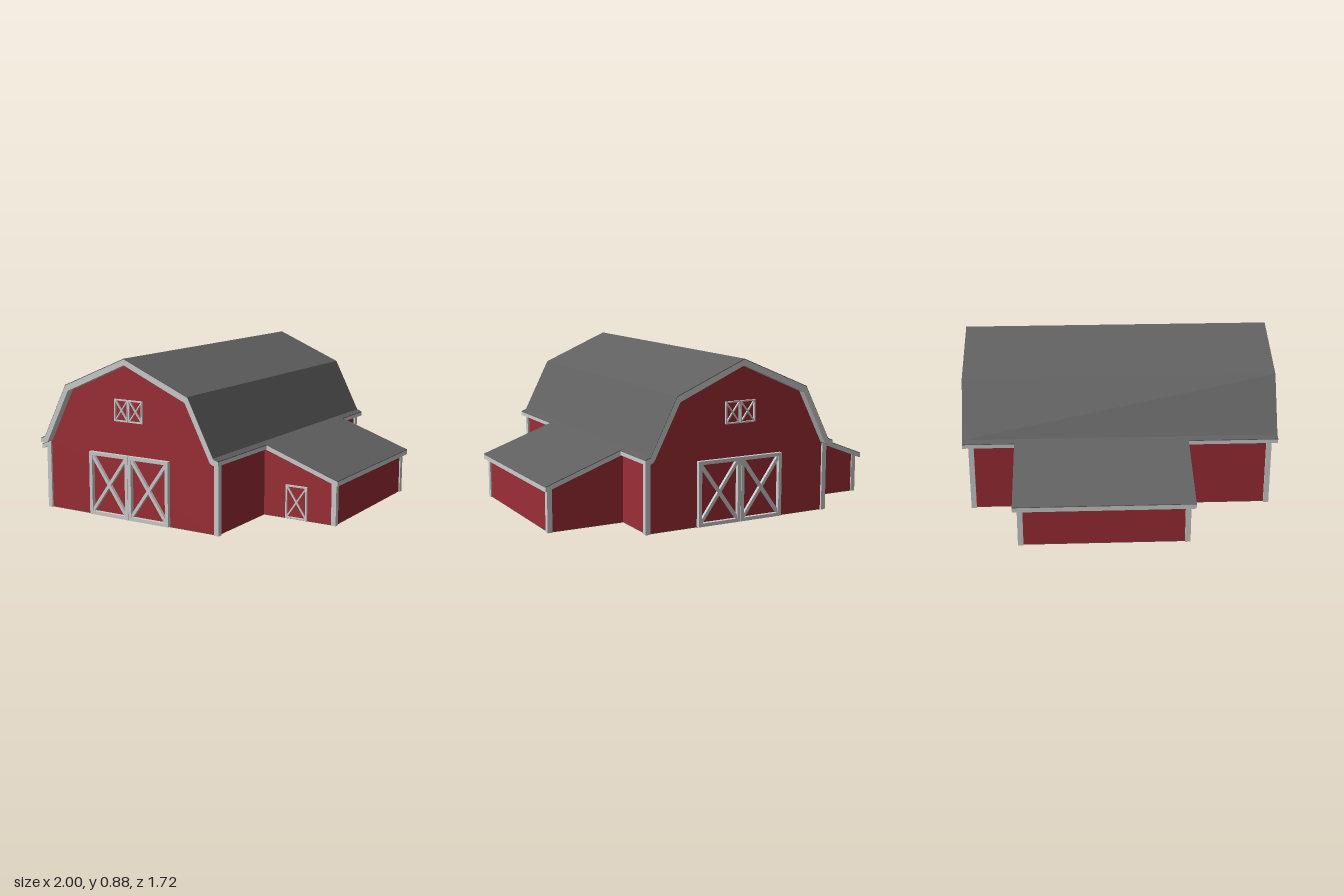
import * as THREE from 'three';

const paint = (color) => new THREE.MeshStandardMaterial({ color, flatShading: true });

export function createModel() {
  const barn = new THREE.Group();
  barn.name = 'barn';
  const red = paint(0x9b2d35), trim = paint(0xcccccc), dark = paint(0x606060);

  const add = (parent, name, geometry, material) => {
    const mesh = new THREE.Mesh(geometry, material);
    mesh.name = name;
    parent.add(mesh);
    return mesh;
  };

  // Extrude an x/y outline between two depths
  const prism = (parent, name, points, z0, z1, material) => {
    const shape = new THREE.Shape(points.map(([x, y]) => new THREE.Vector2(x, y)));
    const geometry = new THREE.ExtrudeGeometry(shape, { depth: z1 - z0, bevelEnabled: false });
    return add(parent, name, geometry.translate(0, 0, z0), material);
  };

  // Box given by its two extreme corners
  const block = (parent, name, [x0, y0, z0], [x1, y1, z1], material) => {
    const mesh = add(parent, name, new THREE.BoxGeometry(x1 - x0, y1 - y0, z1 - z0), material);
    mesh.position.set((x0 + x1) / 2, (y0 + y1) / 2, (z0 + z1) / 2);
    return mesh;
  };

  // Mirror a half outline (from the ridge to +x) into a full one, left to right
  const mirrored = (half) => [...half.slice(1).reverse().map(([x, y]) => [-x, y]), ...half];

  // Thin dark layer lying on a roof line
  const shingles = (name, line, z0, z1) =>
    prism(barn, name, [...line.map(([x, y]) => [x, y + 0.004]), ...[...line].reverse()], z0, z1, dark);

  // Framed panel with a crossed brace, standing on z = 0 and facing +z
  const crossPanel = (parent, name, x0, x1, y0, y1, bar, depth) => {
    const panel = new THREE.Group();
    panel.name = name;
    parent.add(panel);
    for (const x of [x0, x1 - bar]) block(panel, 'stile', [x, y0, 0], [x + bar, y1, depth], trim);
    for (const y of [y0, y1 - bar]) block(panel, 'rail', [x0, y, 0], [x1, y + bar, depth], trim);
    const w = x1 - x0 - bar, h = y1 - y0 - bar;
    for (const s of [-1, 1]) {
      const brace = add(panel, 'brace', new THREE.BoxGeometry(Math.hypot(w, h) - bar, bar * 0.9, depth * 0.8), trim);
      brace.position.set((x0 + x1) / 2, (y0 + y1) / 2, depth * 0.4);
      brace.rotation.z = s * Math.atan2(h, w);
    }
    return panel;
  };

  // Floor
  block(barn, 'mainFloor', [-0.55, 0, -0.82], [0.55, 0.003, 0.82], dark);
  block(barn, 'wingFloor', [-0.975, 0, -0.55], [0.975, 0.003, 0.34], dark);

  // Main hall and its gambrel roof with flared eaves
  const walls = mirrored([[0, 0.85], [0.385, 0.685], [0.535, 0.385], [0.55, 0.375], [0.55, 0.003]]);
  prism(barn, 'mainWalls', walls, -0.82, 0.82, red);
  const outer = mirrored([[0, 0.871], [0.395, 0.703], [0.547, 0.405], [0.577, 0.393]]);
  const inner = mirrored([[0, 0.84], [0.378, 0.675], [0.528, 0.382], [0.545, 0.372], [0.577, 0.372]]);
  prism(barn, 'mainRoofTrim', [...outer, ...inner.reverse()], -0.862, 0.862, trim);
  shingles('mainRoof', outer, -0.862, 0.862);

  // Gable ends: double doors and loft shutters, front and back
  for (const back of [false, true]) {
    const gable = new THREE.Group();
    gable.name = back ? 'backGable' : 'frontGable';
    gable.position.z = back ? -0.82 : 0.82;
    gable.rotation.y = back ? Math.PI : 0;
    barn.add(gable);
    for (const [x0, x1] of [[-0.256, 0], [0.002, 0.258]])
      crossPanel(gable, 'barnDoor', x0, x1, 0.004, 0.353, 0.019, 0.022);
    for (const [x0, x1] of [[-0.09, -0.001], [0.001, 0.091]])
      crossPanel(gable, 'loftShutter', x0, x1, 0.533, 0.652, 0.007, 0.012);
  }

  // Side wings; the right one slopes a little steeper
  for (const { s, edge, door } of [
    { s: 1, edge: 0.246, door: [0.685, 0.813] },
    { s: -1, edge: 0.229, door: [-0.796, -0.668] },
  ]) {
    const side = s > 0 ? 'left' : 'right';
    const slope = (edge - 0.404) / (1 - 0.55);
    const top = (x) => 0.404 + slope * (x - 0.55);
    const line = [[s * 0.53, top(0.53)], [s, edge]];
    const lower = [[s, edge - 0.025], [s * 0.53, top(0.53) - 0.025]];
    prism(barn, side + 'WingWalls',
      [[s * 0.5, 0.003], [s * 0.975, 0.003], [s * 0.975, top(0.975) - 0.015], [s * 0.5, top(0.5) - 0.015]],
      -0.55, 0.34, red);
    prism(barn, side + 'WingRoofTrim', [...line, ...lower], -0.58, 0.37, trim);
    shingles(side + 'WingRoof', line, -0.58, 0.37);
    crossPanel(barn, side + 'WingDoor', door[0], door[1], 0.004, 0.188, 0.009, 0.01).position.z = 0.34;

    // Corner posts of the wing and the hall
    const post = (name, x, z, h) =>
      block(barn, name, [x - 0.0135, 0, z - 0.0145], [x + 0.0135, h, z + 0.0145], trim);
    for (const z of [0.331, -0.542]) post(side + 'WingPost', s * 0.969, z, top(0.969) - 0.015);
    for (const z of [0.816, -0.816]) post(side + 'MainPost', s * 0.547, z, 0.376);
  }

  return barn;
}
